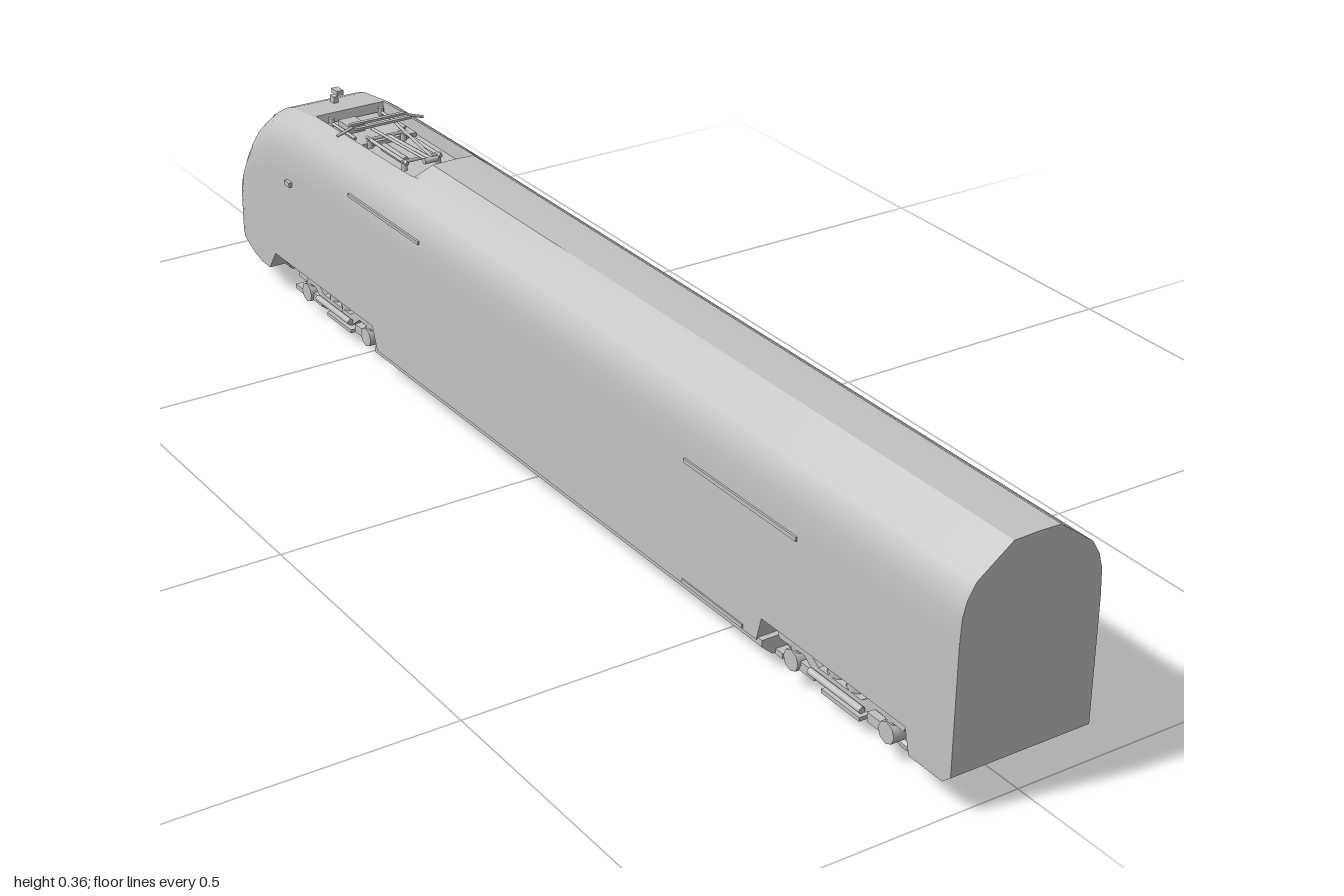
import * as THREE from 'three';
import { toCreasedNormals } from 'three/addons/utils/BufferGeometryUtils.js';

const grey = new THREE.MeshStandardMaterial({ color: 0xc2c2c2 });
grey.name = 'plain grey';

function add(parent, name, geometry, x = 0, y = 0, z = 0) {
  const mesh = new THREE.Mesh(geometry, grey);
  mesh.name = name;
  mesh.position.set(x, y, z);
  parent.add(mesh);
  return mesh;
}

const box = (parent, name, w, h, d, x, y, z) => add(parent, name, new THREE.BoxGeometry(w, h, d), x, y, z);

function rod(parent, name, a, b, r) {
  const p = new THREE.Vector3(...a), q = new THREE.Vector3(...b);
  const mesh = add(parent, name, new THREE.CylinderGeometry(r, r, p.distanceTo(q), 8));
  mesh.position.copy(p).add(q).multiplyScalar(0.5);
  mesh.quaternion.setFromUnitVectors(new THREE.Vector3(0, 1, 0), q.sub(p).normalize());
  return mesh;
}

// Outline extruded along z (from zMin to zMax) or, for side frames, turned along x
function prism(points, depth) {
  return new THREE.ExtrudeGeometry(new THREE.Shape(points.map(p => new THREE.Vector2(...p))), { depth, bevelEnabled: false });
}

// Half of the carbody section, from floor centre to roof centre
const SECTION = [
  [0, 0.043], [0.11, 0.043], [0.11, 0.08], [0.11, 0.15], [0.11, 0.24], [0.108, 0.28], [0.102, 0.302],
  [0.09, 0.323], [0.066, 0.341], [0.062, 0.344], [0.06, 0.3455], [0.036, 0.363], [0, 0.364],
];

// Stations: z, half width, section height, roof cut, underside, roof well floor
const STATIONS = [
  [1, 0.11, 0.364, 0.364, 0.056], [0.985, 0.11, 0.364, 0.364, 0.043],
  [0.92, 0.11, 0.364, 0.364, 0.043], [0.91, 0.11, 0.364, 0.364, 0.08],
  [0.61, 0.11, 0.364, 0.364, 0.08], [0.6, 0.11, 0.364, 0.364, 0.043],
  [-0.36, 0.11, 0.364, 0.364, 0.043], [-0.385, 0.11, 0.364, 0.343, 0.043, 0.336],
  [-0.42, 0.11, 0.364, 0.342, 0.043, 0.318], [-0.435, 0.11, 0.364, 0.342, 0.08, 0.318],
  [-0.685, 0.11, 0.362, 0.338, 0.08, 0.318], [-0.69, 0.11, 0.362, 0.338, 0.08],
  [-0.765, 0.11, 0.352, 0.329, 0.08], [-0.79, 0.109, 0.343, 0.32, 0.045],
  [-0.82, 0.107, 0.325, 0.303, 0.043], [-0.86, 0.101, 0.29, 0.269, 0.043],
  [-0.9, 0.092, 0.24, 0.222, 0.043], [-0.93, 0.084, 0.196, 0.181, 0.043],
  [-0.95, 0.077, 0.164, 0.151, 0.046], [-0.965, 0.068, 0.133, 0.122, 0.052],
];

function ring([z, w, top, cut, bottom, well]) {
  const half = SECTION.map(([x, y], i) => {
    let h = 0.043 + (y - 0.043) * (top - 0.043) / 0.321;
    h = Math.max(Math.min(h, cut), bottom);
    if (well && i > 9) h = well;
    return [x * w / 0.11, h, z];
  });
  const left = half.slice(1, -1).reverse().map(([x, y, zz]) => [-x, y, zz]);
  return [...half, ...left];
}

function bodyGeometry() {
  const rings = STATIONS.map(ring);
  // Coupler pocket sunk into the nose
  const lip = rings[rings.length - 1];
  const inset = z => lip.map(([x, y]) => [x * 0.84, 0.087 + (y - 0.087) * 0.8, z]);
  rings.push(inset(-0.963), inset(-0.92));
  const n = lip.length, index = [];
  rings.slice(1).forEach((_, i) => {
    for (let j = 0; j < n; j++) {
      const k = (j + 1) % n, a = i * n + j, b = i * n + k;
      index.push(a, a + n, b + n, a, b + n, b);
    }
  });
  // Rear wall and back of the pocket
  const count = rings.length * n, last = count - n;
  for (let j = 0; j < n; j++) {
    const k = (j + 1) % n;
    index.push(count, j, k, count + 1, last + k, last + j);
  }
  const points = [...rings.flat(), [0, 0.2, 1], [0, 0.087, -0.92]];
  const g = new THREE.BufferGeometry();
  g.setAttribute('position', new THREE.Float32BufferAttribute(points.flat(), 3));
  g.setIndex(index);
  return toCreasedNormals(g, 0.5);
}

// Windscreen height at a given z
function noseY(z) {
  const i = STATIONS.findIndex(s => s[0] <= z), a = STATIONS[i - 1], b = STATIONS[i];
  return a[3] + (b[3] - a[3]) * (z - a[0]) / (b[0] - a[0]);
}

function createBogie(z) {
  const bogie = new THREE.Group();
  bogie.name = 'bogie';
  bogie.position.z = z;
  const wheelProfile = [[0.008, -0.007], [0.03, -0.005], [0.034, -0.007], [0.039, -0.006], [0.039, -0.003],
    [0.036, -0.002], [0.035, 0.008], [0.029, 0.008], [0.026, 0.003], [0.008, 0.006]];
  const wheel = toCreasedNormals(new THREE.LatheGeometry(wheelProfile.map(p => new THREE.Vector2(...p)), 28), 0.6);
  const frame = prism([[-0.13, 0.056], [-0.075, 0.058], [-0.045, 0.036], [0.045, 0.036], [0.075, 0.058],
    [0.13, 0.056], [0.135, 0.068], [0.07, 0.074], [0.045, 0.056], [-0.045, 0.056], [-0.07, 0.074], [-0.135, 0.068]], 0.012);
  frame.rotateY(Math.PI / 2);
  for (const dz of [-0.1, 0.1]) {
    rod(bogie, 'axle', [-0.088, 0.039, dz], [0.088, 0.039, dz], 0.007);
    box(bogie, 'tractionMotor', 0.075, 0.036, 0.05, 0, 0.044, dz * 0.55);
    box(bogie, 'brakePlate', 0.13, 0.006, 0.035, 0, 0.022, dz * 1.4);
    for (const s of [-1, 1]) {
      add(bogie, 'wheel', wheel, s * 0.06, 0.039, dz).rotation.z = -s * Math.PI / 2;
      rod(bogie, 'axleBox', [s * 0.076, 0.039, dz], [s * 0.098, 0.039, dz], 0.016);
      box(bogie, 'axleArm', 0.012, 0.014, 0.045, s * 0.087, 0.036, dz * 0.78);
      rod(bogie, 'axleSpring', [s * 0.087, 0.045, dz], [s * 0.087, 0.072, dz], 0.01);
      rod(bogie, 'airSpring', [s * 0.08, 0.05, dz * 0.2], [s * 0.08, 0.084, dz * 0.2], 0.016);
      box(bogie, 'brakeShoe', 0.014, 0.024, 0.008, s * 0.06, 0.036, dz * 1.43);
      box(bogie, 'railGuard', 0.02, 0.008, 0.03, s * 0.075, 0.022, dz * 1.5);
    }
  }
  for (const s of [-1, 1]) {
    add(bogie, 'sideFrame', frame, s * 0.089 - 0.006);
    rod(bogie, 'yawDamper', [s * 0.101, 0.048, -0.055], [s * 0.101, 0.048, 0.055], 0.005);
    box(bogie, 'stepBeam', 0.02, 0.006, 0.08, s * 0.083, 0.023, 0);
  }
  box(bogie, 'bolster', 0.18, 0.018, 0.05, 0, 0.07, 0);
  return bogie;
}

function createPantograph() {
  const p = new THREE.Group();
  p.name = 'pantograph';
  box(p, 'equipmentTray', 0.11, 0.008, 0.11, 0, 0.321, -0.627);
  box(p, 'breakerBox', 0.03, 0.014, 0.035, -0.025, 0.331, -0.64);
  for (const s of [-1, 1]) {
    for (const z of [-0.46, -0.57]) rod(p, 'insulator', [s * 0.03, 0.317, z], [s * 0.03, 0.332, z], 0.005);
    rod(p, 'baseRail', [s * 0.03, 0.332, -0.45], [s * 0.03, 0.332, -0.58], 0.003);
    rod(p, 'upperArm', [s * 0.006, 0.34, -0.43], [s * 0.022, 0.346, -0.58], 0.0025);
    rod(p, 'headHorn', [s * 0.05, 0.35, -0.59], [s * 0.078, 0.341, -0.59], 0.0025);
    rod(p, 'busBar', [s * 0.045, 0.33, -0.59], [s * 0.045, 0.33, -0.67], 0.0025);
    rod(p, 'postInsulator', [s * 0.045, 0.318, -0.67], [s * 0.045, 0.338, -0.67], 0.005);
  }
  for (const z of [-0.46, -0.57]) rod(p, 'baseCrossbar', [-0.035, 0.332, z], [0.035, 0.332, z], 0.003);
  rod(p, 'lowerArm', [0, 0.333, -0.56], [0, 0.339, -0.43], 0.005);
  rod(p, 'elbow', [-0.012, 0.339, -0.43], [0.012, 0.339, -0.43], 0.005);
  rod(p, 'liftCylinder', [-0.022, 0.328, -0.47], [-0.022, 0.328, -0.54], 0.007);
  for (const z of [-0.58, -0.6]) box(p, 'contactStrip', 0.1, 0.004, 0.007, 0, 0.35, z);
  return p;
}

export function createModel() {
  const model = new THREE.Group();
  model.name = 'locomotive';
  add(model, 'carbody', bodyGeometry());

  // Underfloor equipment and end skirts
  add(model, 'underfloorCasing', prism([[-0.09, 0.02], [0.09, 0.02], [0.108, 0.036], [0.108, 0.046], [-0.108, 0.046], [-0.108, 0.036]], 1.04), 0, 0, -0.43);
  add(model, 'rearSkirt', prism([[-0.09, 0.026], [0.09, 0.026], [0.106, 0.046], [-0.106, 0.046]], 0.045), 0, 0, 0.91);
  add(model, 'noseSkirt', prism([[-0.062, 0.026], [0.062, 0.026], [0.075, 0.046], [-0.075, 0.046]], 0.1), 0, 0, -0.9);
  model.add(createBogie(0.76), createBogie(-0.58), createPantograph());

  // Side details
  for (const s of [-1, 1]) {
    box(model, 'rearSideGrille', 0.006, 0.006, 0.25, s * 0.11, 0.233, 0.555);
    box(model, 'frontSideGrille', 0.006, 0.005, 0.22, s * 0.108, 0.28, -0.39);
    box(model, 'lowerSidePanel', 0.006, 0.006, 0.14, s * 0.109, 0.048, 0.5);
    box(model, 'sideCamera', 0.012, 0.008, 0.016, s * 0.11, 0.229, -0.7);
    rod(model, 'lampStrip', [s * 0.066, noseY(-0.83), -0.83], [s * 0.058, noseY(-0.92), -0.92], 0.002);
  }

  // Roof horn and wipers
  box(model, 'roofHorn', 0.012, 0.008, 0.02, 0.035, 0.325, -0.8);
  box(model, 'roofAerial', 0.008, 0.012, 0.014, 0, 0.337, -0.745);
  rod(model, 'wiperArm', [0, noseY(-0.945), -0.945], [0.012, noseY(-0.9) + 0.002, -0.9], 0.002);
  rod(model, 'wiperBlade', [0.012, noseY(-0.925) + 0.002, -0.925], [0.014, noseY(-0.875) + 0.002, -0.875], 0.002);

  // Coupler in the nose pocket
  rod(model, 'couplerShank', [0, 0.088, -0.92], [0, 0.088, -0.985], 0.009);
  box(model, 'couplerHead', 0.036, 0.032, 0.016, 0, 0.088, -0.983);
  rod(model, 'couplerCone', [-0.009, 0.09, -0.985], [-0.009, 0.09, -1], 0.006);
  box(model, 'couplerPlate', 0.018, 0.02, 0.012, 0.008, 0.088, -0.99);
  for (const s of [-1, 1]) {
    rod(model, 'buffer', [s * 0.04, 0.09, -0.92], [s * 0.04, 0.09, -0.96], 0.011);
    rod(model, 'airHose', [s * 0.02, 0.075, -0.93], [s * 0.022, 0.066, -0.975], 0.003);
  }
  return model;
}
